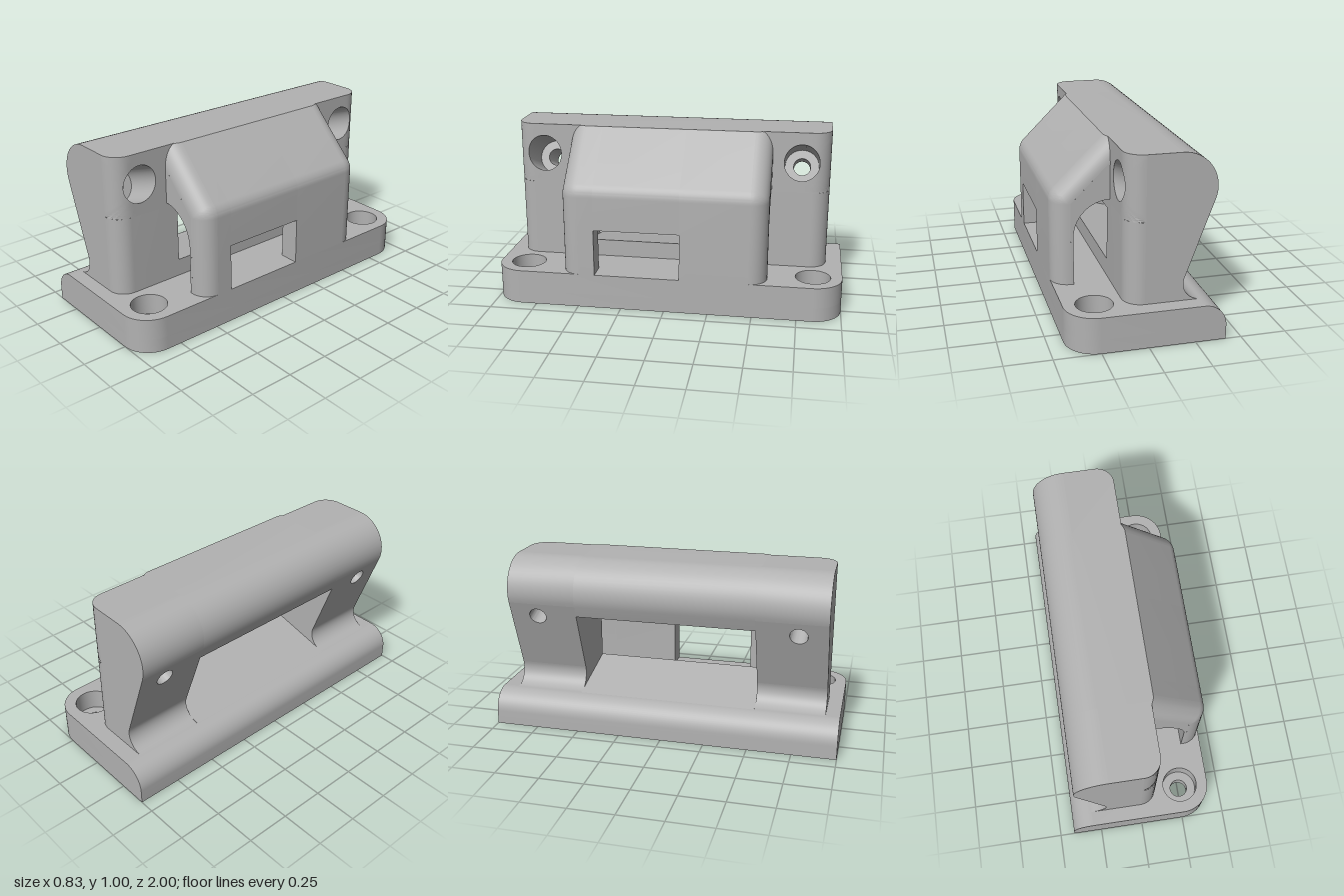
import * as THREE from 'three';
import { toCreasedNormals } from 'three/addons/utils/BufferGeometryUtils.js';

const grey = new THREE.MeshStandardMaterial({ color: 0xb2b2b2, side: THREE.DoubleSide });
grey.name = 'warm grey';

const V3 = (x, y, z) => new THREE.Vector3(x, y, z);
const shapeOf = (pts) => new THREE.Shape(pts.map(([x, y]) => new THREE.Vector2(x, y)));

function add(group, name, geometry) {
  const mesh = new THREE.Mesh(toCreasedNormals(geometry, 0.5), grey);
  mesh.name = name;
  group.add(mesh);
  return mesh;
}

// points on an arc, angles in degrees
function arc(cx, cy, r, from, to, n = 16) {
  return Array.from({ length: n + 1 }, (_, i) => {
    const a = THREE.MathUtils.degToRad(from + ((to - from) * i) / n);
    return [cx + r * Math.cos(a), cy + r * Math.sin(a)];
  });
}

// skin between successive rings of points
function loft(rings, closed = false) {
  const n = rings[0].length, index = [];
  for (let i = 0; i < rings.length - 1; i++) {
    for (let j = 0; j < (closed ? n : n - 1); j++) {
      const k = (j + 1) % n, a = i * n + j, b = i * n + k;
      index.push(a, b, b + n, a, b + n, a + n);
    }
  }
  const g = new THREE.BufferGeometry().setFromPoints(rings.flat());
  g.setIndex(index);
  return g;
}

// profile in x,y swept from z0 to z1
function prism(shape, z0, z1) {
  const g = new THREE.ExtrudeGeometry(shape, { depth: z1 - z0, bevelEnabled: false, curveSegments: 24 });
  return g.translate(0, 0, z0);
}
const strip = (pts, z0, z1) => loft([z0, z1].map((z) => pts.map(([x, y]) => V3(x, y, z))));

// ---- upright dimensions
const END = 0.913, OPEN = 0.515, R = 0.1, FLAT = END - R;
const topArc = arc(-0.185, 0.81, 0.19, 90, 200.1);
const fillet = arc(-0.3, 0.295, 0.095, 20.1, -90);
const slantTop = topArc[topArc.length - 1], slantEnd = fillet[0];
const slantLen = Math.hypot(slantEnd[0] - slantTop[0], slantEnd[1] - slantTop[1]);
const DX = (slantEnd[0] - slantTop[0]) / slantLen, DY = (slantEnd[1] - slantTop[1]) / slantLen;
const HZ = 0.75, HY = 0.825;

// front face rounded at the outer edge; s is the distance along it
const frontX = (z) => (z <= FLAT ? 0.1 : Math.sqrt(R * R - (z - FLAT) ** 2));
const toS = (z) => (z <= FLAT ? z : FLAT + R * Math.asin((z - FLAT) / R));
function onFront(s, y) {
  const a = Math.max(0, (s - FLAT) / R);
  return V3(R * Math.cos(a), y, s <= FLAT ? s : FLAT + R * Math.sin(a));
}

// one end block, with a counterbored hole square to the sloping back
function endBlock() {
  const g = new THREE.Group();
  const back = [...topArc, ...fillet];
  add(g, 'outerCap', new THREE.ShapeGeometry(shapeOf([[0, 1], ...back, [0, 0.2]])).translate(0, 0, END));
  add(g, 'openingWall', new THREE.ShapeGeometry(shapeOf([[0.1, 1], ...back, [0.1, 0.2]])).translate(0, 0, OPEN));
  add(g, 'roundedBackTop', strip(topArc, OPEN, END));
  add(g, 'footFillet', strip(fillet, OPEN, END));

  const top = shapeOf([[-0.185, -OPEN], [-0.185, -END], ...arc(0, -FLAT, R, -90, 0), [0.1, -OPEN]]);
  add(g, 'topFace', new THREE.ShapeGeometry(top).rotateX(-Math.PI / 2).translate(0, 1, 0));

  // hole axis and its exit on the slope
  const ax = DY, ay = -DX;
  const exitT = ((slantTop[0] - 0.1) * ax + (slantTop[1] - HY) * ay);
  const exit = [0.1 + ax * exitT, HY + ay * exitT];
  const along = Math.hypot(exit[0] - slantTop[0], exit[1] - slantTop[1]);

  const slope = shapeOf([[OPEN, -slantLen], [END, -slantLen], [END, 0], [OPEN, 0]]);
  slope.holes.push(new THREE.Path().absarc(HZ, -along, 0.05, 0, Math.PI * 2, true));
  const slopeGeo = new THREE.ShapeGeometry(slope, 24);
  const p = slopeGeo.attributes.position;
  for (let i = 0; i < p.count; i++) {
    const u = p.getX(i), v = -p.getY(i);
    p.setXYZ(i, slantTop[0] + v * DX, slantTop[1] + v * DY, u);
  }
  add(g, 'slopingBack', slopeGeo);

  // rectangle around the hole, in s and y
  const S1 = FLAT + (R * Math.PI) / 2, Y0 = 0.65, N = 14;
  const corners = [[S1, Y0], [S1, 1], [OPEN, 1], [OPEN, Y0]];
  const outer = [];
  corners.forEach(([s, y], i) => {
    const [s2, y2] = corners[(i + 1) % 4];
    for (let k = 0; k < N; k++) outer.push([s + ((s2 - s) * k) / N, y + ((y2 - y) * k) / N]);
  });
  const angles = outer.map(([s, y]) => Math.atan2(y - HY, s - HZ));
  const circle = (t, r) => angles.map((a) =>
    V3(0.1 + ax * t - DX * r * Math.sin(a), HY + ay * t - DY * r * Math.sin(a), HZ + r * Math.cos(a)));
  const rim = circle(0, 0.1).map((q) => {
    const t = (frontX(q.z) - q.x) / ax;
    return V3(q.x + ax * t, q.y + ay * t, q.z);
  });
  const rings = [];
  for (let k = 0; k <= 8; k++) {
    rings.push(rim.map((q, i) => onFront(
      THREE.MathUtils.lerp(toS(q.z), outer[i][0], k / 8),
      THREE.MathUtils.lerp(q.y, outer[i][1], k / 8))));
  }
  add(g, 'upperFront', loft(rings, true));
  add(g, 'counterboredHole', loft([circle(exitT, 0.05), circle(0.26, 0.05)], true));
  add(g, 'counterboreFloor', loft([circle(0.26, 0.05), circle(0.26, 0.1)], true));
  add(g, 'counterboreWall', loft([circle(0.26, 0.1), rim], true));

  const run = [OPEN, ...Array.from({ length: 13 }, (_, i) => FLAT + ((S1 - FLAT) * i) / 12)];
  add(g, 'lowerFront', loft([Y0, 0.2].map((y) => run.map((s) => onFront(s, y)))));
  return g;
}

// one rounded end of the bracket hood
const archPts = [[0.3, 0.2], ...arc(0.1, 0.47, 0.2, 0, 90)];
function hoodOutline(d) {
  const y = Math.min(1, 1.015 - Math.SQRT2 * d);
  const x = Math.max(0.1, 1.115 - Math.SQRT2 * d - y);
  return [[0.1, y], [x, y], ...arc(0.315, 0.6586, Math.max(R - d, 0.0001), 45, 0, 10), [0.415 - d, 0.2], ...archPts];
}
function hoodEnd() {
  const g = new THREE.Group();
  const rings = [];
  for (let i = 0; i <= 12; i++) {
    const a = (Math.PI / 2) * (1 - i / 12);
    rings.push(hoodOutline(R * (1 - Math.cos(a))).map(([x, y]) => V3(x, y, 0.485 + R * Math.sin(a))));
  }
  add(g, 'roundedHoodEdge', loft(rings, true));
  const side = [[0.1, 0.8736], [0.315, 0.6586], [0.315, 0.2], ...archPts];
  add(g, 'hoodSide', new THREE.ShapeGeometry(shapeOf(side)).translate(0, 0, 0.585));
  return g;
}

// base layer with two screw holes
function baseLayer(r, y0, y1) {
  const c = 0.165;
  const s = shapeOf([[-0.295, -1], ...arc(0.415 - c, -1 + c, c, -90, 0), ...arc(0.415 - c, 1 - c, c, 0, 90), [-0.295, 1]]);
  for (const z of [-0.835, 0.835]) s.holes.push(new THREE.Path().absarc(0.25, z, r, 0, Math.PI * 2, true));
  return prism(s, y0, y1).rotateX(-Math.PI / 2);
}

export function createModel() {
  const model = new THREE.Group();
  model.name = 'mountingBracket';

  // base plate
  const base = new THREE.Group();
  base.name = 'base';
  add(base, 'baseLower', baseLayer(0.05, 0, 0.08));
  add(base, 'baseUpper', baseLayer(0.1, 0.08, 0.2));
  add(base, 'roundedBaseEdge', prism(shapeOf([[-0.295, 0], ...arc(-0.295, 0.08, 0.12, 90, 180), [-0.415, 0]]), -1, 1));

  // upright: two end blocks, a beam over the opening and a sloping sill
  const upright = new THREE.Group();
  upright.name = 'upright';
  const lipX = slantTop[0] + (DX / DY) * (0.68 - slantTop[1]);
  add(upright, 'beam', prism(shapeOf([[0.1, 1], ...topArc, [lipX, 0.68], [0.1, 0.6]]), -OPEN, OPEN));
  add(upright, 'sill', prism(shapeOf([[-0.3, 0.2], [0.1, 0.2], [0.1, 0.3]]), -OPEN, OPEN));

  // hood with an off-centre window
  const hood = new THREE.Group();
  hood.name = 'hood';
  const full = hoodOutline(0).filter((_, i) => i > 0);
  full.unshift([0.1, 1]);
  const above = full.filter(([, y]) => y > 0.469);
  const cut = above.findIndex(([x, y]) => Math.abs(y - 0.47) < 1e-6 && Math.abs(x - 0.3) < 1e-6);
  above.splice(cut, 0, [0.415, 0.47]);
  add(hood, 'hoodRightPart', prism(shapeOf(full), -0.485, -0.095));
  add(hood, 'hoodOverWindow', prism(shapeOf(above), -0.095, 0.393));
  add(hood, 'hoodLeftPart', prism(shapeOf(full), 0.393, 0.485));

  for (const side of [1, -1]) {
    const block = endBlock(), end = hoodEnd();
    block.name = side > 0 ? 'frontEndBlock' : 'backEndBlock';
    end.name = side > 0 ? 'frontHoodEnd' : 'backHoodEnd';
    block.scale.z = end.scale.z = side;
    upright.add(block);
    hood.add(end);
  }
  upright.position.z = hood.position.z = 0.006;
  model.add(base, upright, hood);
  return model;
}
